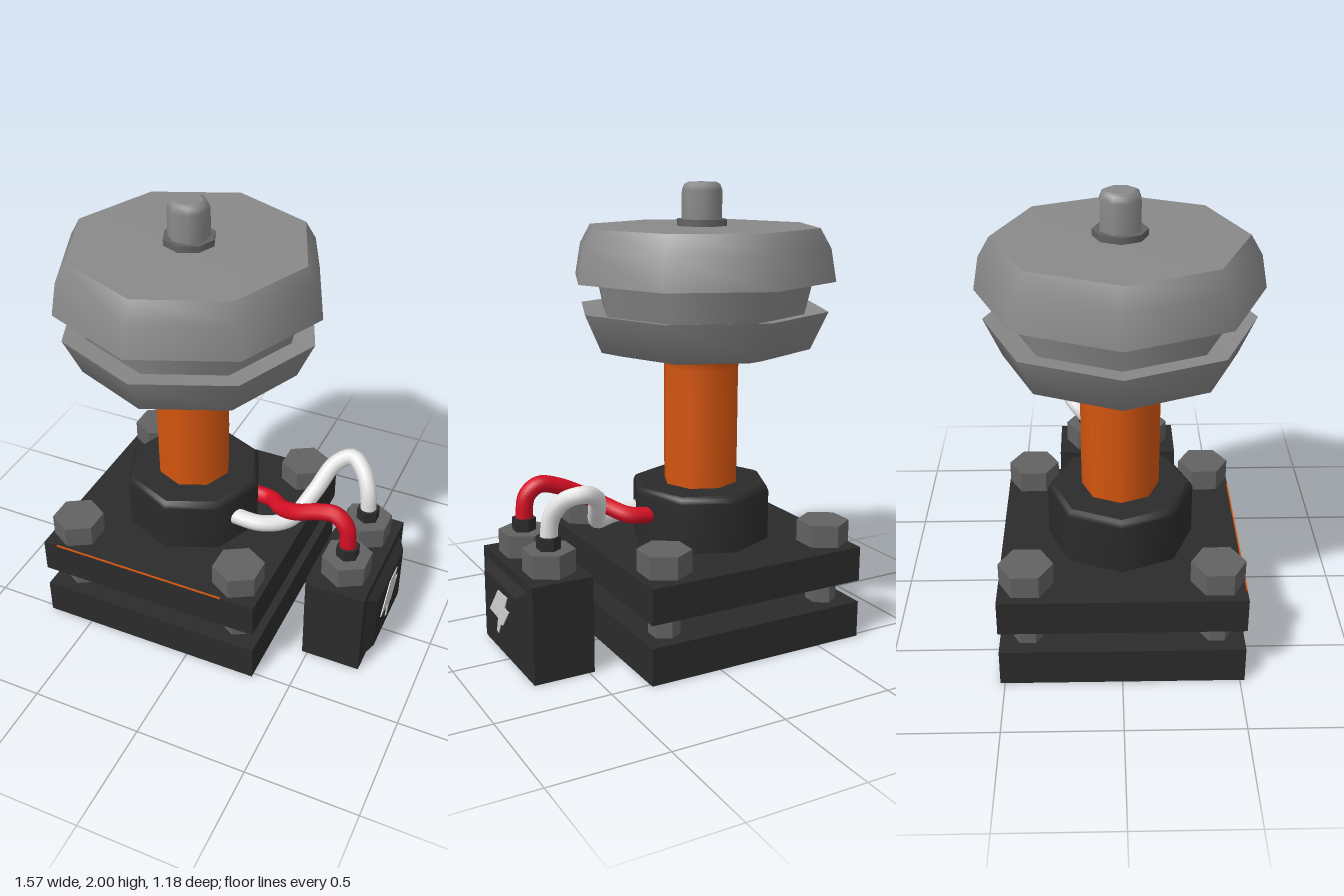
import * as THREE from 'three';
import { mergeGeometries } from 'three/addons/utils/BufferGeometryUtils.js';

const AXIS_X = -0.195;

export function createModel() {
  const model = new THREE.Group();
  const mat = (name, color) => {
    const m = new THREE.MeshStandardMaterial({ color });
    m.name = name;
    return m;
  };
  const black = mat('black casing', 0x2b2b2b);
  const steel = mat('dark steel', 0x626262);
  const grey = mat('grey metal', 0x898989);
  const orange = mat('orange copper', 0xd6560f);
  const red = mat('red wire', 0xd60f24);
  const white = mat('white wire', 0xe4e4e4);
  const pale = mat('pale symbol', 0xd0d0d0);

  const add = (name, geometry, material, x = 0, y = 0, z = 0) => {
    const mesh = new THREE.Mesh(geometry, material);
    mesh.name = name;
    mesh.position.set(x, y, z);
    model.add(mesh);
    return mesh;
  };
  const faceted = (geometry) => {
    const g = geometry.toNonIndexed();
    g.computeVertexNormals();
    return g;
  };
  const box = (name, w, y0, y1, d, x, material) =>
    add(name, new THREE.BoxGeometry(w, y1 - y0, d), material, x, (y0 + y1) / 2, 0);
  const hex = (name, r, y0, y1, x, z, material) =>
    add(name, faceted(new THREE.CylinderGeometry(r, r, y1 - y0, 6)), material, x, (y0 + y1) / 2, z);
  // Eight-sided turned part: smooth inside each profile section, creased between them
  const turned = (name, sections, material) =>
    add(name, mergeGeometries(sections.map((s) =>
      new THREE.LatheGeometry(s.map(([r, y]) => new THREE.Vector2(r, y)), 8))), material, AXIS_X);

  // Base plates
  box('lowerPlate', 1.04, 0, 0.165, 1.04, AXIS_X, black);
  box('upperPlate', 1.04, 0.265, 0.422, 1.04, AXIS_X, black);
  add('edgeTrim', new THREE.BoxGeometry(0.82, 0.006, 0.006), orange, -0.24, 0.422, 0.518);

  // Corner bolts
  for (const sx of [-1, 1]) {
    for (const sz of [-1, 1]) {
      const x = AXIS_X + sx * 0.4, z = sz * 0.4;
      hex('boltShaft', 0.068, 0.16, 0.45, x, z, steel);
      hex('boltHead', 0.115, 0.437, 0.535, x, z, steel);
    }
  }

  // Collar and column
  turned('collar', [
    [[0.318, 0.42], [0.318, 0.645], [0.31, 0.665], [0.295, 0.675]],
    [[0.295, 0.675], [0, 0.675]],
  ], black);
  turned('column', [
    [[0.168, 0.66], [0.17, 0.85], [0.17, 1.03], [0.17, 1.2], [0.175, 1.235], [0.19, 1.27]],
  ], orange);

  // Stacked discs
  turned('lowerDisc', [
    [[0, 1.255], [0.19, 1.255], [0.4, 1.275], [0.485, 1.297], [0.56, 1.462]],
    [[0.56, 1.462], [0.44, 1.445]],
  ], grey);
  turned('discNeck', [[[0.455, 1.44], [0.49, 1.595]]], grey);
  turned('upperDisc', [
    [[0.45, 1.59], [0.588, 1.59]],
    [[0.588, 1.59], [0.563, 1.73], [0.515, 1.813]],
    [[0.515, 1.813], [0.42, 1.815], [0, 1.815]],
  ], grey);

  // Top nut and knob
  turned('topNut', [
    [[0.112, 1.81], [0.112, 1.843]],
    [[0.112, 1.843], [0, 1.843]],
  ], steel);
  turned('topKnob', [
    [[0.088, 1.84], [0.088, 1.965], [0.078, 1.99], [0.06, 2]],
    [[0.06, 2], [0, 2]],
  ], grey).rotation.y = Math.PI / 8;

  // Power box with raised side panels
  const boxX = 0.61;
  box('powerBox', 0.27, 0, 0.425, 0.57, boxX, black);
  const panelGeometry = new THREE.BoxGeometry(0.036, 0.345, 0.47);
  const p = panelGeometry.attributes.position;
  for (let i = 0; i < p.count; i++) {
    if (p.getX(i) > 0) p.setXYZ(i, p.getX(i), p.getY(i) * 0.8, p.getZ(i) * 0.78);
  }
  for (const s of [-1, 1]) {
    const panel = add('sidePanel', faceted(panelGeometry), black, boxX + s * 0.153, 0.213, 0);
    if (s < 0) panel.rotation.y = Math.PI;
  }

  // Painted lightning symbol on the outer panel
  const zigzag = new THREE.Shape([
    [-0.01, 0.32], [-0.12, 0.197], [-0.02, 0.19], [-0.037, 0.128], [-0.02, 0.12],
    [0.012, 0.172], [0.035, 0.175], [0.112, 0.262], [0.065, 0.265], [0.095, 0.32],
  ].map(([u, v]) => new THREE.Vector2(u, v)));
  const symbol = add('lightningSymbol',
    new THREE.ExtrudeGeometry(zigzag, { depth: 0.005, bevelEnabled: false }), pale, boxX + 0.17);
  symbol.rotation.y = Math.PI / 2;

  // Terminals
  for (const z of [-0.14, 0.135]) {
    hex('terminalNut', 0.113, 0.42, 0.525, boxX, z, steel);
    hex('terminalSleeve', 0.052, 0.52, 0.58, boxX, z, black);
  }

  // Wires
  const wire = (name, points, material) => {
    const curve = new THREE.CatmullRomCurve3(points.map((q) => new THREE.Vector3(...q)));
    add(name, new THREE.TubeGeometry(curve, 48, 0.038, 10), material);
  };
  wire('redWire', [
    [0.06, 0.56, -0.05], [0.18, 0.57, -0.03], [0.26, 0.605, 0.05], [0.36, 0.66, 0.11],
    [0.46, 0.705, 0.12], [0.54, 0.72, 0.125], [0.595, 0.675, 0.133], [0.61, 0.56, 0.135],
  ], red);
  wire('whiteWire', [
    [0.04, 0.545, 0.12], [0.19, 0.535, 0.11], [0.3, 0.545, 0.04], [0.365, 0.63, -0.09],
    [0.42, 0.73, -0.2], [0.49, 0.765, -0.235], [0.56, 0.735, -0.19], [0.6, 0.66, -0.15],
    [0.61, 0.56, -0.14],
  ], white);

  return model;
}
